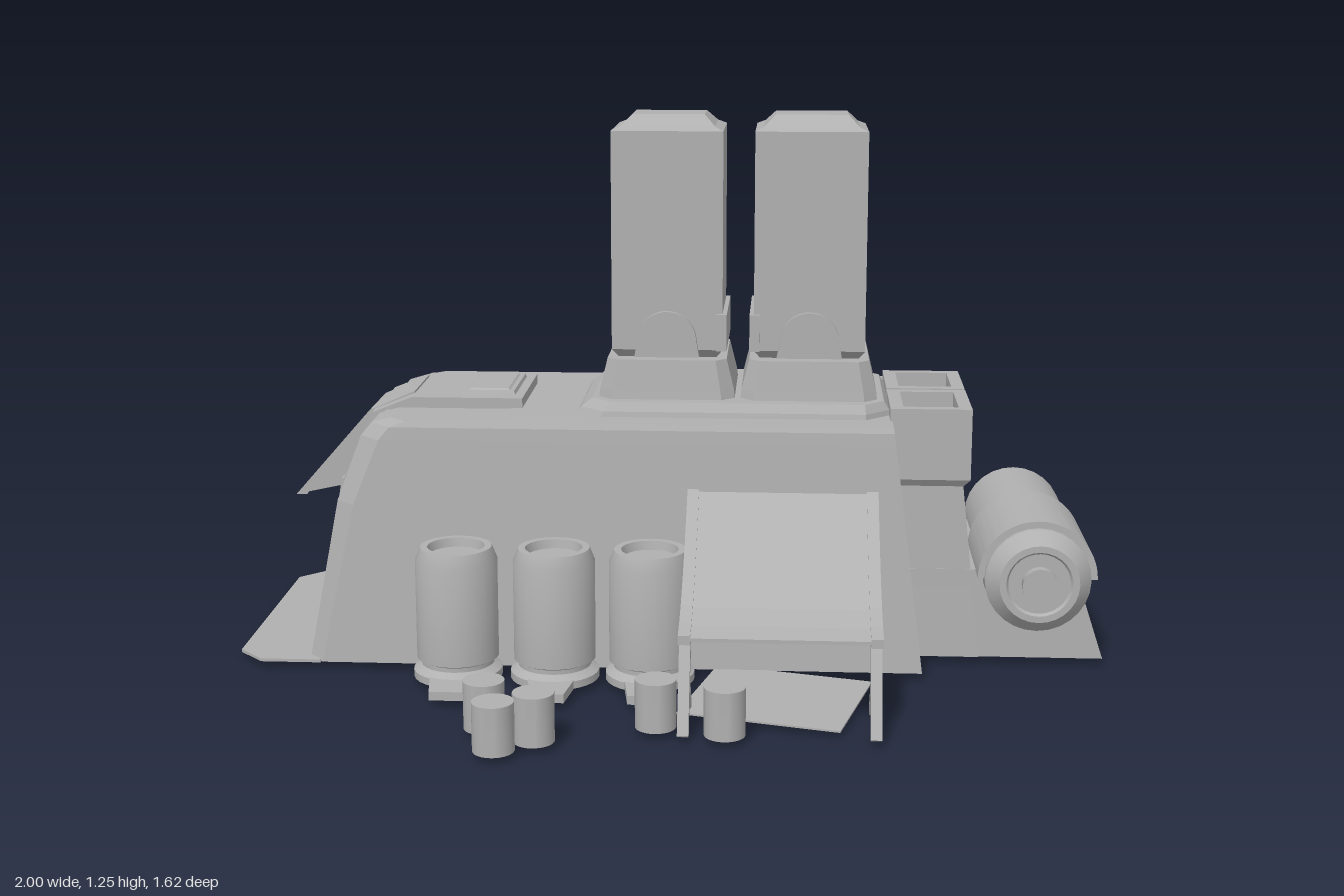
import * as THREE from 'three';
import { toCreasedNormals } from 'three/addons/utils/BufferGeometryUtils.js';

const ZC = -0.07; // centre line of the hull

export function createModel() {
  const root = new THREE.Group();
  root.name = 'outpost';
  const mat = new THREE.MeshStandardMaterial({ color: 0xb0b0b0, side: THREE.DoubleSide });
  mat.name = 'plainGrey';

  const add = (name, geo, parent = root) => {
    const m = new THREE.Mesh(geo, mat);
    m.name = name;
    parent.add(m);
    return m;
  };

  // Loft of rectangular rings [y, x0, x1, z0, z1, left corner cut, right corner cut]
  const loft = (rings, openBottom = false) => {
    const pts = rings.map(([y, x0, x1, z0, z1, a = 0, b = a]) => [
      [x0 + a, y, z0], [x1 - b, y, z0], [x1, y, z0 + b], [x1, y, z1 - b],
      [x1 - b, y, z1], [x0 + a, y, z1], [x0, y, z1 - a], [x0, y, z0 + a]]);
    const out = [];
    const tri = (...v) => v.forEach((p) => out.push(...p));
    for (let k = 0; k < pts.length - 1; k++) {
      for (let i = 0; i < 8; i++) {
        const j = (i + 1) % 8, lo = pts[k], hi = pts[k + 1];
        tri(lo[i], hi[i], hi[j]);
        tri(lo[i], hi[j], lo[j]);
      }
    }
    const bot = pts[0], top = pts[pts.length - 1];
    for (let i = 1; i < 7; i++) {
      if (!openBottom) tri(bot[0], bot[i], bot[i + 1]);
      tri(top[0], top[i + 1], top[i]);
    }
    const g = new THREE.BufferGeometry();
    g.setAttribute('position', new THREE.Float32BufferAttribute(out, 3));
    g.computeVertexNormals();
    return g;
  };
  const block = (x0, x1, y0, y1, z0, z1) =>
    new THREE.BoxGeometry(x1 - x0, y1 - y0, z1 - z0).translate((x0 + x1) / 2, (y0 + y1) / 2, (z0 + z1) / 2);
  const poly = (pts) => new THREE.Shape(pts.map(([x, y]) => new THREE.Vector2(x, y)));
  const extrude = (shape, depth) => new THREE.ExtrudeGeometry(shape, { depth, bevelEnabled: false, curveSegments: 24 });
  // Shape drawn in (z, y), swept from x0 to x1
  const extrudeX = (shape, x0, x1) => extrude(shape, x1 - x0).rotateY(-Math.PI / 2).translate(x1, 0, 0);
  const lathe = (pts) =>
    toCreasedNormals(new THREE.LatheGeometry(pts.map(([x, y]) => new THREE.Vector2(x, y)), 28), 0.5);
  const framed = (x0, x1, y0, y1, h) => {
    const s = poly([[x0, y0], [x1, y0], [x1, y1], [x0, y1]]);
    s.holes.push(new THREE.Path(poly([[h[0], h[2]], [h[0], h[3]], [h[1], h[3]], [h[1], h[2]]]).getPoints()));
    return s;
  };
  const bar = (name, a, b, w, parent) => {
    const A = new THREE.Vector3(...a), B = new THREE.Vector3(...b);
    const m = add(name, new THREE.BoxGeometry(w, w, A.distanceTo(B)), parent);
    m.position.copy(A).add(B).multiplyScalar(0.5);
    m.lookAt(B);
  };

  // Main hull shell, open below, with a rounded left end
  add('hull', loft([
    [0.015, -0.83, 0.578, -0.41, 0.27, 0.035, 0],
    [0.38, -0.765, 0.531, -0.377, 0.237, 0.045, 0],
    [0.53, -0.71, 0.511, -0.364, 0.224, 0.05, 0],
    [0.56, -0.685, 0.507, -0.361, 0.221, 0.05, 0],
    [0.573, -0.64, 0.505, -0.355, 0.215, 0.04, 0]], true));
  add('entrancePlate', loft([
    [0.013, -1, -0.8, -0.41, 0.27, 0.06, 0], [0.02, -1, -0.8, -0.41, 0.27, 0.06, 0]]));
  add('door', loft([[0.02, -0.834, -0.825, -0.15, 0.01], [0.36, -0.773, -0.764, -0.15, 0.01]]));

  // Entrance hood: sloped roof and cheeks, widest at the lower lip
  const flare = (geo) => {
    const p = geo.attributes.position;
    for (let i = 0; i < p.count; i++) {
      const t = Math.min(1, Math.max(0, (p.getX(i) + 0.9) / 0.2));
      p.setZ(i, ZC + p.getZ(i) * (0.105 - 0.01 * t));
    }
    geo.computeVertexNormals();
    return geo;
  };
  add('hoodRoof', flare(extrude(poly([[-0.61, 0.575], [-0.61, 0.603], [-0.72, 0.555],
    [-0.9, 0.35], [-0.875, 0.35], [-0.71, 0.53]]), 2).translate(0, 0, -1)));
  add('hoodBand', extrude(poly([[-0.35, 0.575], [-0.35, 0.598], [-0.61, 0.598], [-0.705, 0.56], [-0.785, 0.38],
    [-0.765, 0.38], [-0.705, 0.53], [-0.67, 0.568]]), 0.285).translate(0, 0, ZC - 0.1425));
  for (const s of [-1, 1]) {
    add('hoodCheek', flare(extrude(poly([[-0.9, 0.35], [-0.77, 0.377], [-0.7, 0.555], [-0.72, 0.555]]), 0.12)
      .translate(0, 0, s * 0.94 - 0.06)));
    const z = ZC + s * 0.12;
    add('doorPillar', loft([[0.02, -0.842, -0.825, z - 0.022, z + 0.022], [0.4, -0.782, -0.76, z - 0.022, z + 0.022]]));
  }
  add('hatchFrame', loft([[0.595, -0.5, -0.37, -0.18, 0.035], [0.606, -0.495, -0.375, -0.175, 0.03]]));
  add('hatchLid', loft([[0.606, -0.485, -0.385, -0.165, 0.02], [0.61, -0.48, -0.39, -0.16, 0.015]]));

  // Roof platform and two towers, vented on their outer sides
  add('platform', loft([
    [0.565, -0.225, 0.505, -0.285, 0.145, 0.06], [0.585, -0.21, 0.5, -0.28, 0.14, 0.055],
    [0.605, -0.185, 0.488, -0.267, 0.127, 0.045]], true));
  for (const s of [-1, 1]) {
    const tower = new THREE.Group();
    tower.name = 'tower';
    tower.position.set(0.151 + s * 0.164, 0, -0.065);
    root.add(tower);
    const ring = (y, hx, hz, c = 0) => [y, -hx, hx, -hz, hz, c];
    add('towerBase', loft([ring(0.6, 0.158, 0.162, 0.03), ring(0.625, 0.155, 0.158, 0.03),
      ring(0.695, 0.138, 0.147, 0.025)]), tower);
    add('towerNeck', loft([ring(0.69, 0.11, 0.1), ring(0.715, 0.128, 0.125)]), tower);
    const inner = -s * 0.128, core = s * 0.1, outer = s * 0.128;
    add('towerCore', block(Math.min(inner, core), Math.max(inner, core), 0.715, 1.218, -0.12, 0.12), tower);
    const [f0, f1] = s > 0 ? [inner, outer] : [outer, inner];
    add('towerShell', extrudeX(framed(-0.125, 0.125, 0.715, 1.218, [-0.095, 0.095, 0.803, 1.198]), f0, f1), tower);
    add('towerCap', loft([ring(1.218, 0.128, 0.125), ring(1.227, 0.108, 0.1),
      ring(1.252, 0.083, 0.065)]), tower);
    // Louvre slats, standing out at their lower edge
    for (let i = 0; i < 7; i++) {
      const y = 0.803 + i * 0.0565;
      add('louvre', extrude(poly([[core, y + 0.006], [s * 0.123, y + 0.006], [s * 0.108, y + 0.0565], [core, y + 0.0565]]), 0.19)
        .translate(0, 0, -0.095), tower);
    }
    // Arched foot plates and an inner foot slab
    for (const t of [-1, 1]) {
      const arch = poly([[-0.075, 0.7], [0.075, 0.7], [0.068, 0.74]]);
      arch.absarc(0, 0.738, 0.068, 0, Math.PI, false);
      add('archPlate', extrude(arch, 0.02).translate(0, 0, t * 0.13 - 0.01), tower);
    }
    add('footSlab', block(-s * 0.126 - 0.012, -s * 0.126 + 0.012, 0.715, 0.8, -0.138, 0.138), tower);
  }

  // Open bins on columns at the right end
  for (const [z0, z1] of [[-0.287, -0.075], [-0.062, 0.15]]) {
    add('binRim', extrude(framed(0.5, 0.685, -z1, -z0, [0.53, 0.655, -z1 + 0.025, -z0 - 0.025]), 0.05)
      .rotateX(-Math.PI / 2).translate(0, 0.552, 0));
    add('binBody', loft([[0.42, 0.51, 0.67, z0 + 0.012, z1 - 0.012], [0.437, 0.51, 0.685, z0, z1], [0.555, 0.5, 0.685, z0, z1]]));
    add('binColumn', loft([[0.015, 0.51, 0.715, z0, z1], [0.42, 0.51, 0.67, z0 + 0.012, z1 - 0.012]], true));
  }
  add('tankPlinth', loft([[0.015, 0.51, 1, -0.28, 0.145], [0.145, 0.51, 0.957, -0.28, 0.145],
    [0.15, 0.51, 0.8, -0.28, 0.145], [0.225, 0.51, 0.72, -0.28, 0.145]], true));

  // Horizontal tanks, each with a half sleeve toward one end
  const end = [[0, 0.332], [0.04, 0.332], [0.04, 0.31], [0.07, 0.31], [0.075, 0.317], [0.09, 0.317], [0.12, 0.283]];
  const tankProfile = [...end.map(([r, y]) => [r, -y]), ...end.slice().reverse()];
  const makeTank = (x, y, z, turn) => {
    const g = new THREE.Group();
    g.name = 'tank';
    g.position.set(x, y, z);
    g.rotation.y = turn;
    add('tankBody', lathe(tankProfile).rotateX(Math.PI / 2), g);
    const sleeve = new THREE.Shape();
    sleeve.absarc(0, 0, 0.135, 0, Math.PI, false);
    sleeve.absarc(0, 0, 0.117, Math.PI, 0, true);
    add('tankSleeve', toCreasedNormals(extrude(sleeve, 0.273), 0.5), g);
    root.add(g);
  };
  makeTank(0.838, 0.222, -0.072, 0);
  makeTank(-0.425, 0.12, -0.513, -Math.PI / 2);

  // Sagging awnings on rails and legs; d is the distance from the centre line c
  const sag = [[0.285, 0.435], [0.35, 0.38], [0.42, 0.328], [0.5, 0.278], [0.58, 0.238], [0.64, 0.218], [0.695, 0.208]];
  const makeAwning = (s, c, x0, x1, brace) => {
    const g = new THREE.Group();
    g.name = 'awning';
    root.add(g);
    const strip = (up, down) => poly([...sag.map(([d, y]) => [c + s * d, y + up]),
      ...sag.slice().reverse().map(([d, y]) => [c + s * d, y - down])]);
    add('awningSheet', extrudeX(strip(0.004, 0.004), x0, x1), g);
    for (const x of [x0 + 0.012, x1 - 0.012]) {
      add('awningRail', extrudeX(strip(0.009, 0.011), x - 0.013, x + 0.013), g);
      bar('awningLeg', [x, 0.213, c + s * 0.635], [x, 0.01, c + s * 0.735], 0.024, g);
      if (brace) bar('awningBrace', [x, 0.14, c + s * 0.665], [x, 0.014, c + s * 0.575], 0.02, g);
    }
  };
  makeAwning(1, ZC, 0.045, 0.472, true);
  makeAwning(-1, ZC + 0.01, -0.46, 0.23, false);
  const groundMat = add('groundMat', new THREE.BoxGeometry(0.36, 0.004, 0.31));
  groundMat.position.set(0.25, 0.014, 0.435);
  groundMat.rotation.y = -0.25;

  // Upright canisters with a sloped foot each
  for (const x of [-0.47, -0.25, -0.035]) {
    add('canister', lathe([[0.1, 0.015], [0.1, 0.032], [0.082, 0.045], [0.082, 0.055], [0.092, 0.06],
      [0.092, 0.285], [0.08, 0.315], [0.064, 0.315], [0.06, 0.295], [0, 0.295]]).translate(x, 0, 0.325));
    add('canisterFoot', extrude(poly([[x - 0.055, -0.38], [x - 0.038, -0.498], [x + 0.038, -0.498], [x + 0.055, -0.38]]), 0.02)
      .rotateX(-Math.PI / 2).translate(0, 0.014, 0));
  }

  // Small drums used as stools
  for (const [x, z] of [[-0.363, 0.644], [-0.25, 0.71], [-0.326, 0.766], [-0.003, 0.617], [0.144, 0.654]]) {
    add('stool', lathe([[0.044, 0.013], [0.044, 0.119], [0, 0.119]]).translate(x, 0, z));
  }
  return root;
}
